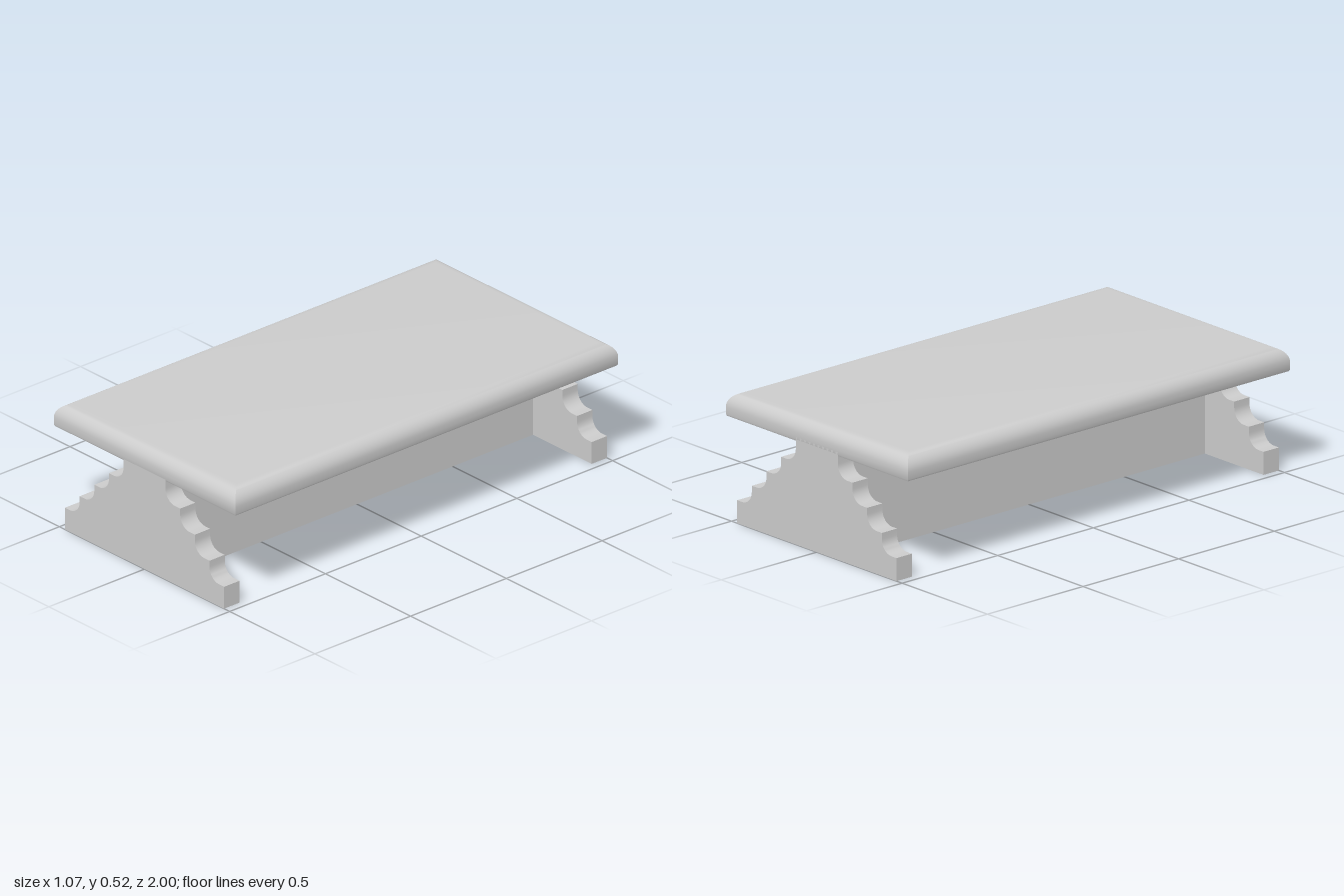
import * as THREE from 'three';
import { toCreasedNormals } from 'three/addons/utils/BufferGeometryUtils.js';

const HALF_W = 0.533, HALF_L = 1, TOP = 0.524, UNDER = 0.424, NECK = 0.123, FOOT = 0.467, THICK = 0.08;

// Slab made of stacked rectangles: the edge profile runs round all four sides with mitred corners
function slabGeometry() {
  const profile = [[0.01, UNDER], [0.003, UNDER + 0.003], [0, UNDER + 0.01]]; // [inset, height]
  const r = 0.06;
  for (let i = 0; i <= 10; i++) {
    const a = (i / 10) * Math.PI / 2;
    profile.push([r * (1 - Math.cos(a)), TOP - r + r * Math.sin(a)]);
  }
  const pos = [], index = [];
  for (const [d, y] of profile) {
    const x = HALF_W - d, z = HALF_L - d;
    pos.push(-x, y, z, x, y, z, x, y, -z, -x, y, -z);
  }
  for (let i = 0; i < profile.length - 1; i++) {
    for (let k = 0; k < 4; k++) {
      const a = i * 4 + k, b = i * 4 + (k + 1) % 4;
      index.push(a, b, b + 4, a, b + 4, a + 4);
    }
  }
  const t = (profile.length - 1) * 4;
  index.push(t, t + 1, t + 2, t, t + 2, t + 3, 0, 2, 1, 0, 3, 2);
  const geo = new THREE.BufferGeometry();
  geo.setAttribute('position', new THREE.Float32BufferAttribute(pos, 3));
  geo.setIndex(index);
  return toCreasedNormals(geo, 0.6);
}

// Stepped end panel with a concave quarter round in every step
function supportGeometry() {
  const steps = 4, run = (FOOT - NECK) / steps, rise = 0.0817, first = 0.095, r = 0.056;
  const right = [[FOOT, 0]];
  for (let s = 0; s < steps; s++) {
    const x = FOOT - (s + 1) * run, y = first + s * rise;
    right.push([x + run, y]);
    for (let i = 0; i <= 8; i++) {
      const a = (i / 8) * Math.PI / 2;
      right.push([x + r * (1 - Math.sin(a)), y + r * (1 - Math.cos(a))]);
    }
  }
  right.push([NECK, UNDER + 0.02]);
  const left = right.map(([x, y]) => [-x, y]).reverse();
  const shape = new THREE.Shape([...right, ...left].map(([x, y]) => new THREE.Vector2(x, y)));
  const geo = new THREE.ExtrudeGeometry(shape, { depth: THICK, bevelEnabled: false });
  return toCreasedNormals(geo, 0.6);
}

export function createModel() {
  const group = new THREE.Group();
  const material = new THREE.MeshStandardMaterial({ color: 0xcccccc });
  const add = (name, geo, y, z) => {
    const mesh = new THREE.Mesh(geo, material);
    mesh.name = name;
    mesh.position.set(0, y, z);
    group.add(mesh);
  };

  add('tableTop', slabGeometry(), 0, 0);

  // End supports, flush with the ends of the top
  const support = supportGeometry();
  add('frontSupport', support, 0, HALF_L - THICK);
  add('backSupport', support, 0, -HALF_L);

  // Solid central beam joining the supports
  add('centralBeam', new THREE.BoxGeometry(NECK * 2, UNDER, 2 * (HALF_L - THICK)), UNDER / 2, 0);
  return group;
}
